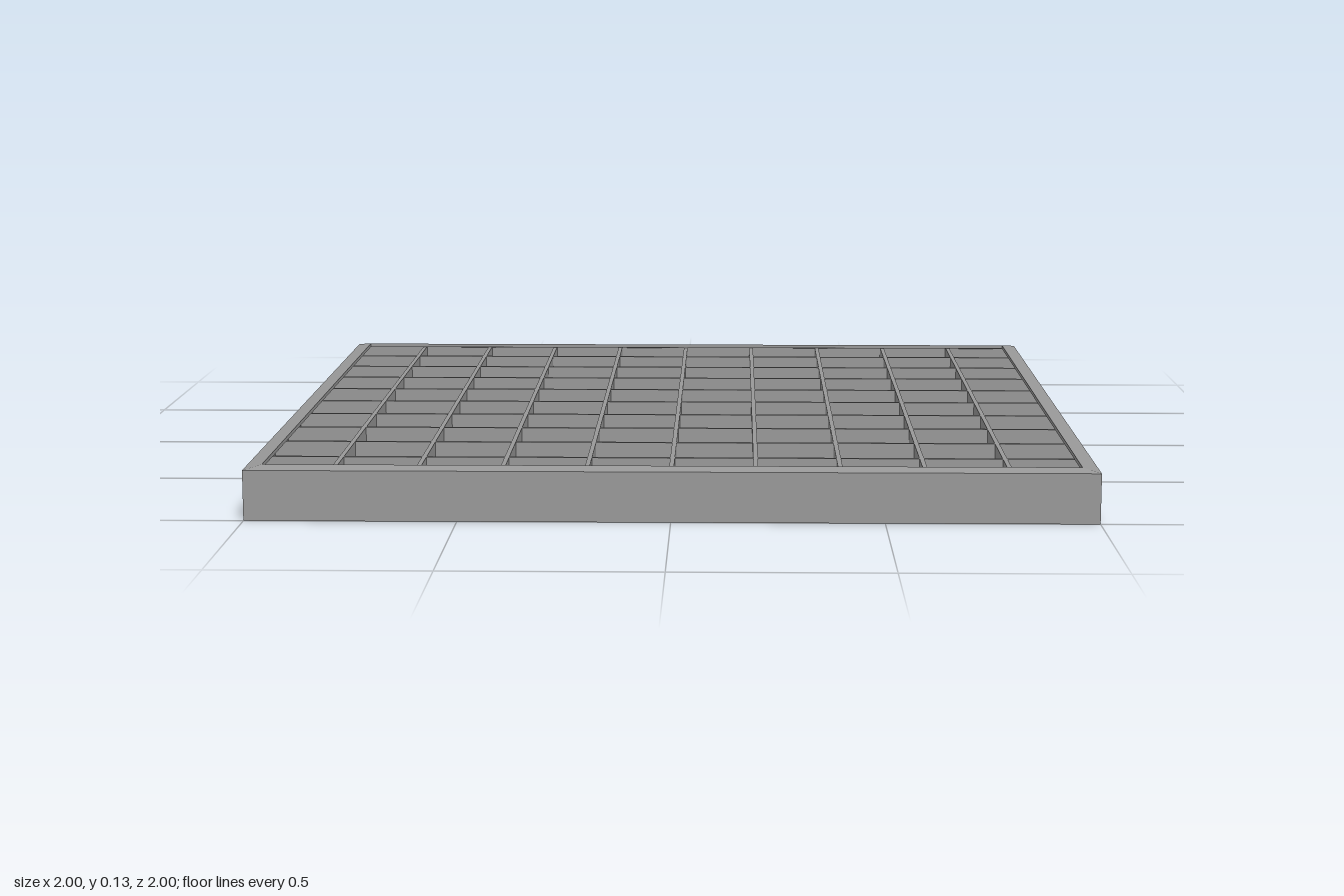
import * as THREE from 'three';

export function createModel() {
  const model = new THREE.Group();
  model.name = 'eggcrateGrille';
  const grey = new THREE.MeshStandardMaterial({ color: 0x999999 });
  grey.name = 'paintedGrey';

  // Square rim: thin wall with a slightly sloped top flange, swept round four sides
  const section = [
    [1, 0], [1, 0.12], [0.96, 0.127], [0.96, 0.117],
    [0.99, 0.112], [0.99, 0], [1, 0],
  ].map(([r, y]) => new THREE.Vector2(r * Math.SQRT2, y));
  const rimGeometry = new THREE.LatheGeometry(section, 4, Math.PI / 4).toNonIndexed();
  rimGeometry.computeVertexNormals();
  const rim = new THREE.Mesh(rimGeometry, grey);
  rim.name = 'rim';
  model.add(rim);

  // Crossing bars of the grid, set just under the flange
  const pitch = 0.199, bottom = 0.02, top = 0.115;
  const barGeometry = new THREE.BoxGeometry(0.011, top - bottom, 1.984);
  const grid = new THREE.Group();
  grid.name = 'grid';
  for (let i = -4; i <= 4; i++) {
    const lengthBar = new THREE.Mesh(barGeometry, grey);
    lengthBar.name = 'lengthBar';
    lengthBar.position.set(i * pitch, (top + bottom) / 2, 0);

    const crossBar = new THREE.Mesh(barGeometry, grey);
    crossBar.name = 'crossBar';
    crossBar.rotation.y = Math.PI / 2;
    crossBar.position.set(0, (top + bottom) / 2, i * pitch);
    grid.add(lengthBar, crossBar);
  }
  model.add(grid);
  return model;
}
